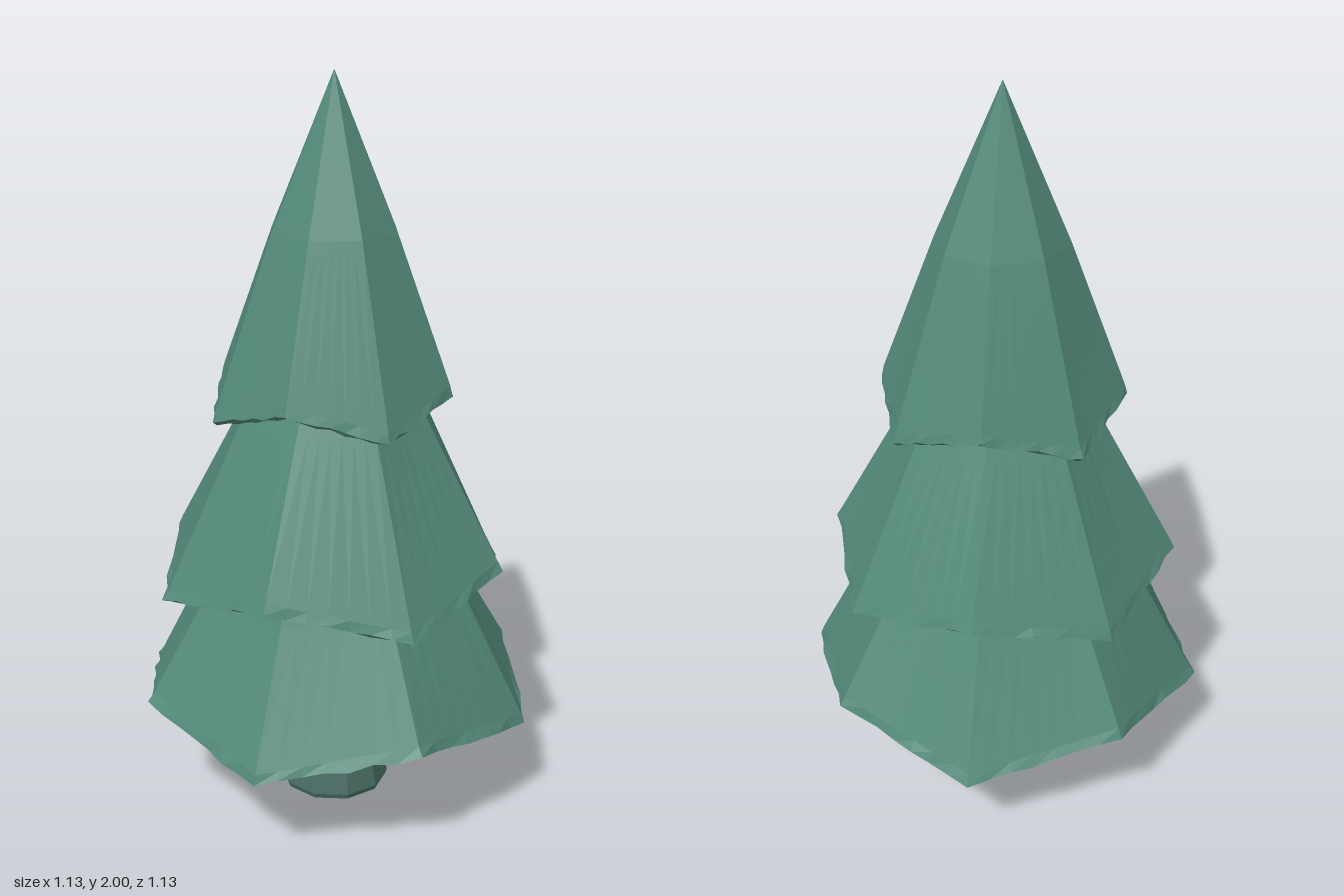
import * as THREE from 'three';

const SEG = 7; // pieces along each of the eight sides
const COUNT = SEG * 8;

function makeRandom(seed) {
  let s = seed;
  return () => (s = (s * 16807) % 2147483647) / 2147483647;
}

// Joins eight-sided rings from bottom underside to top.
// Ring: [side radius, side y, diagonal radius, diagonal y, roughness]
function skirtGeometry(rings, seed) {
  const random = makeRandom(seed);
  const positions = [];
  const index = [];
  for (const [rs, ys, rd, yd, rough = 0] of rings) {
    const corner = (k) => {
      const a = (k * Math.PI) / 4;
      const diagonal = k % 2 === 1;
      const r = diagonal ? rd : rs;
      return new THREE.Vector3(Math.sin(a) * r, diagonal ? yd : ys, Math.cos(a) * r);
    };
    for (let i = 0; i < COUNT; i++) {
      const k = Math.floor(i / SEG);
      const p = corner(k).lerp(corner(k + 1), (i % SEG) / SEG);
      const grow = 1 + (random() - 0.5) * rough;
      positions.push(p.x * grow, p.y + (random() - 0.5) * rough * 0.4, p.z * grow);
    }
  }
  for (let j = 0; j < rings.length - 1; j++) {
    for (let i = 0; i < COUNT; i++) {
      const a = j * COUNT + i;
      const b = j * COUNT + ((i + 1) % COUNT);
      index.push(a, b, b + COUNT, a, b + COUNT, a + COUNT);
    }
  }
  const geometry = new THREE.BufferGeometry();
  geometry.setAttribute('position', new THREE.Float32BufferAttribute(positions, 3));
  geometry.setIndex(index);
  return geometry;
}

export function createModel() {
  const tree = new THREE.Group();
  tree.name = 'pineTree';
  const needles = new THREE.MeshStandardMaterial({ color: 0x528878, flatShading: true, side: THREE.DoubleSide });
  const bark = new THREE.MeshStandardMaterial({ color: 0x476a62, flatShading: true });

  // Branch skirts: underside, ragged rim, then the sloping face
  const tiers = {
    lowerBranches: [
      [0.08, 0.35, 0.08, 0.35],
      [0.54, 0.275, 0.53, 0.345, 0.02],
      [0.565, 0.28, 0.55, 0.35, 0.025],
      [0.55, 0.305, 0.535, 0.375],
      [0.375, 0.64, 0.375, 0.64],
      [0.29, 0.82, 0.29, 0.82],
    ],
    middleBranches: [
      [0.33, 0.74, 0.35, 0.68],
      [0.46, 0.71, 0.475, 0.635, 0.02],
      [0.48, 0.72, 0.495, 0.645, 0.025],
      [0.467, 0.745, 0.482, 0.67],
      [0.26, 1.12, 0.265, 1.12],
      [0.19, 1.26, 0.19, 1.26],
    ],
    upperBranches: [
      [0.21, 1.21, 0.23, 1.15],
      [0.315, 1.18, 0.33, 1.115, 0.02],
      [0.33, 1.19, 0.345, 1.125, 0.025],
      [0.323, 1.215, 0.335, 1.15],
      [0.175, 1.6, 0.175, 1.6],
      [0.001, 2, 0.001, 2],
    ],
  };
  Object.entries(tiers).forEach(([name, rings], i) => {
    const mesh = new THREE.Mesh(skirtGeometry(rings, 101 + i * 37), needles);
    mesh.name = name;
    tree.add(mesh);
  });

  // Flared trunk with a closed foot
  const profile = [[0, 0], [0.15, 0], [0.155, 0.015], [0.125, 0.13], [0.105, 0.23], [0.098, 0.3], [0.09, 0.42]];
  const trunk = new THREE.Mesh(
    new THREE.LatheGeometry(profile.map(([r, y]) => new THREE.Vector2(r, y)), 10),
    bark
  );
  trunk.name = 'trunk';
  tree.add(trunk);

  return tree;
}
